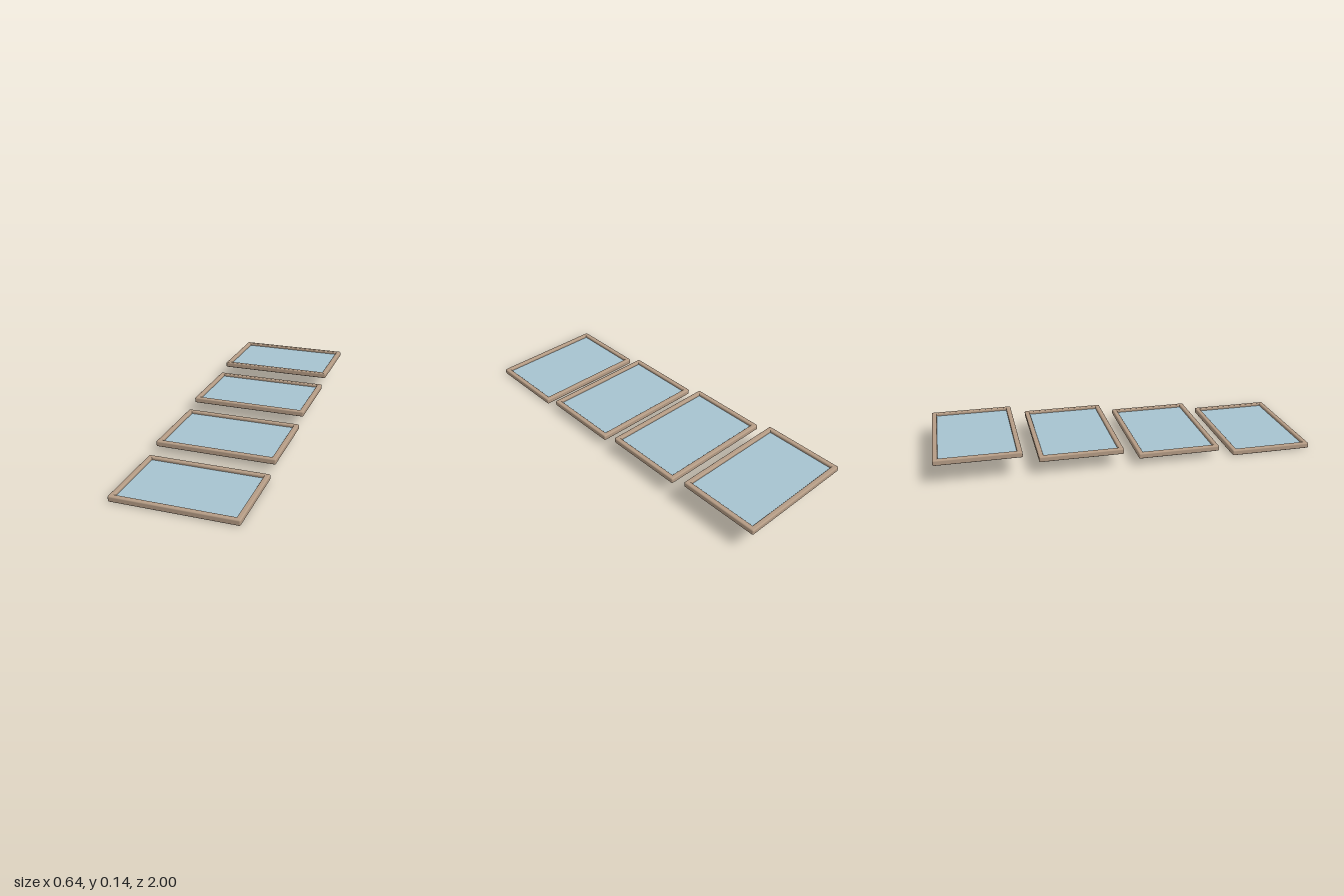
import * as THREE from 'three';
import { RoundedBoxGeometry } from 'three/addons/geometries/RoundedBoxGeometry.js';

const WIDTH = 0.64, DEPTH = 0.44, HEIGHT = 0.03, RAIL = 0.026, ROUND = 0.007;
const PITCH_Z = 0.52, PITCH_Y = 0.0375, COUNT = 4;

const wood = new THREE.MeshStandardMaterial({ color: 0xb59c85 });
const blue = new THREE.MeshStandardMaterial({ color: 0xa6c3d0 });

function addPart(group, name, geometry, material, x, y, z) {
  const mesh = new THREE.Mesh(geometry, material);
  mesh.name = name;
  mesh.position.set(x, y, z);
  group.add(mesh);
}

// One shallow framed tray: four rounded rails, a floor and a blue sheet
function createTray() {
  const tray = new THREE.Group();
  const longRail = new RoundedBoxGeometry(WIDTH, HEIGHT, RAIL, 3, ROUND);
  const sideRail = new RoundedBoxGeometry(RAIL, HEIGHT, DEPTH, 3, ROUND);
  const innerW = WIDTH - RAIL, innerD = DEPTH - RAIL;

  for (const s of [1, -1]) {
    addPart(tray, s > 0 ? 'frontRail' : 'backRail', longRail, wood, 0, HEIGHT / 2, s * innerD / 2);
    addPart(tray, s > 0 ? 'leftRail' : 'rightRail', sideRail, wood, s * innerW / 2, HEIGHT / 2, 0);
  }

  addPart(tray, 'floor', new THREE.BoxGeometry(innerW, 0.008, innerD), wood, 0, 0.008, 0);
  addPart(tray, 'bluePanel', new THREE.BoxGeometry(innerW, 0.004, innerD), blue, 0, 0.014, 0);
  return tray;
}

export function createModel() {
  const model = new THREE.Group();
  model.name = 'steppedTrays';
  // Trays climb in even steps from front to back
  for (let i = 0; i < COUNT; i++) {
    const tray = createTray();
    tray.name = `tray${i + 1}`;
    tray.position.set(0, i * PITCH_Y, ((COUNT - 1) / 2 - i) * PITCH_Z);
    model.add(tray);
  }
  return model;
}
